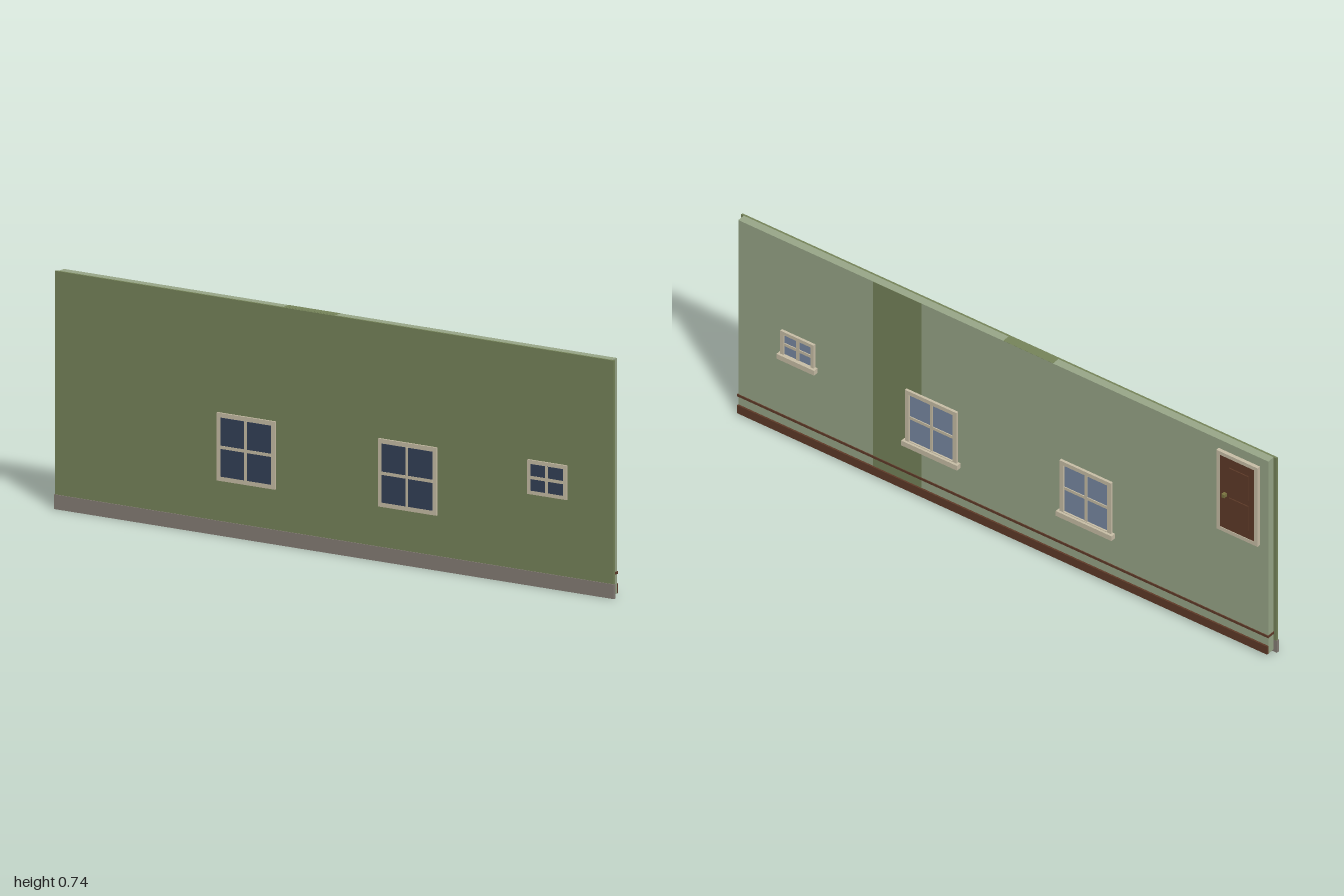
import * as THREE from 'three';

const mat = (name, color) => {
  const m = new THREE.MeshStandardMaterial({ color });
  m.name = name;
  return m;
};

export function createModel() {
  const olive = mat('olive cladding', 0x76845a);
  const sage = mat('sage plaster', 0x98a688);
  const stone = mat('stone base', 0x857d75);
  const cream = mat('cream trim', 0xc8bea6);
  const brown = mat('dark wood', 0x5e3a28);
  const darkGlass = mat('dark glass', 0x334058);
  const paleGlass = mat('pale glass', 0x7889a2);
  const brass = mat('aged brass', 0x7a7440);

  const root = new THREE.Group();
  root.name = 'wallPanel';

  // Box given by its limits on each axis
  const box = (parent, name, material, x0, x1, y0, y1, z0, z1) => {
    const mesh = new THREE.Mesh(new THREE.BoxGeometry(x1 - x0, y1 - y0, Math.abs(z1 - z0)), material);
    mesh.position.set((x0 + x1) / 2, (y0 + y1) / 2, (z0 + z1) / 2);
    mesh.name = name;
    parent.add(mesh);
    return mesh;
  };

  // Rectangular frame with an open middle
  const frame = (parent, name, x0, x1, y0, y1, z0, z1, t) => {
    const s = new THREE.Shape();
    s.moveTo(x0, y0).lineTo(x1, y0).lineTo(x1, y1).lineTo(x0, y1).closePath();
    const h = new THREE.Path();
    h.moveTo(x0 + t, y0 + t).lineTo(x0 + t, y1 - t).lineTo(x1 - t, y1 - t).lineTo(x1 - t, y0 + t).closePath();
    s.holes.push(h);
    const geo = new THREE.ExtrudeGeometry(s, { depth: Math.abs(z1 - z0), bevelEnabled: false });
    const mesh = new THREE.Mesh(geo, cream);
    mesh.position.z = Math.min(z0, z1);
    mesh.name = name;
    parent.add(mesh);
  };

  // Wall layers
  box(root, 'innerWall', sage, -0.988, 0.988, 0.008, 0.735, -0.009, 0.018);
  box(root, 'outerCladding', olive, -0.998, 0.998, 0.045, 0.735, 0.018, 0.025);
  box(root, 'stoneBase', stone, -1, 1, 0, 0.045, 0.018, 0.028);

  // Olive patches on the inner face and the top edge
  box(root, 'wallStripe', olive, 0.305, 0.485, 0.008, 0.735, -0.0095, -0.009);
  box(root, 'topStripe', olive, -0.185, 0, 0.735, 0.7355, -0.009, 0.018);

  // Skirting and rail on the inner side
  box(root, 'skirting', brown, -0.988, 0.988, 0.008, 0.038, -0.015, -0.009);
  box(root, 'wallRail', brown, -0.99, 0.99, 0.069, 0.077, -0.012, 0.018);

  // Glass and crossing bars, inside the given opening
  const panes = (parent, glass, x0, x1, y0, y1, zWall, zGlass, zBar, bar) => {
    const cx = (x0 + x1) / 2, cy = (y0 + y1) / 2;
    box(parent, 'glass', glass, x0, x1, y0, y1, zWall, zGlass);
    box(parent, 'uprightBar', cream, cx - bar, cx + bar, y0, y1, zWall, zBar);
    box(parent, 'crossBar', cream, x0, x1, cy - bar, cy + bar, zWall, zBar);
  };

  // Windows: centre, half width, bottom, top on the outer face, trim width
  const windows = [
    [-0.312, 0.104, 0.170, 0.380, 0.014],
    [0.264, 0.104, 0.170, 0.380, 0.014],
    [0.763, 0.070, 0.283, 0.389, 0.012],
  ];
  for (const [cx, hw, y0, y1, t] of windows) {
    const outer = new THREE.Group();
    outer.name = 'outerWindow';
    root.add(outer);
    frame(outer, 'outerFrame', cx - hw, cx + hw, y0, y1, 0.025, 0.031, t);
    panes(outer, darkGlass, cx - hw + t, cx + hw - t, y0 + t, y1 - t, 0.025, 0.0325, 0.0335, 0.005);

    const inner = new THREE.Group();
    inner.name = 'innerWindow';
    root.add(inner);
    const w = hw - 0.008, b = y0 + 0.016, top = y1 + 0.009;
    frame(inner, 'innerFrame', cx - w, cx + w, b, top, -0.009, -0.018, t);
    panes(inner, paleGlass, cx - w + t, cx + w - t, b + t, top - t, -0.009, -0.012, -0.015, 0.005);
    box(inner, 'sill', cream, cx - hw, cx + hw, y0 + 0.010, y0 + 0.028, -0.026, -0.009);
  }

  // Door with two raised panels and a handle
  const door = new THREE.Group();
  door.name = 'door';
  root.add(door);
  frame(door, 'doorFrame', -0.957, -0.803, 0.405, 0.702, -0.009, -0.021, 0.013);
  box(door, 'doorLeaf', brown, -0.944, -0.816, 0.406, 0.689, -0.019, -0.009);
  for (const y of [0.45, 0.563]) {
    box(door, 'doorPanel', brown, -0.922, -0.85, y, y + 0.092, -0.0225, -0.019);
  }
  box(door, 'doorHandle', brass, -0.841, -0.830, 0.542, 0.554, -0.032, -0.019);

  return root;
}
